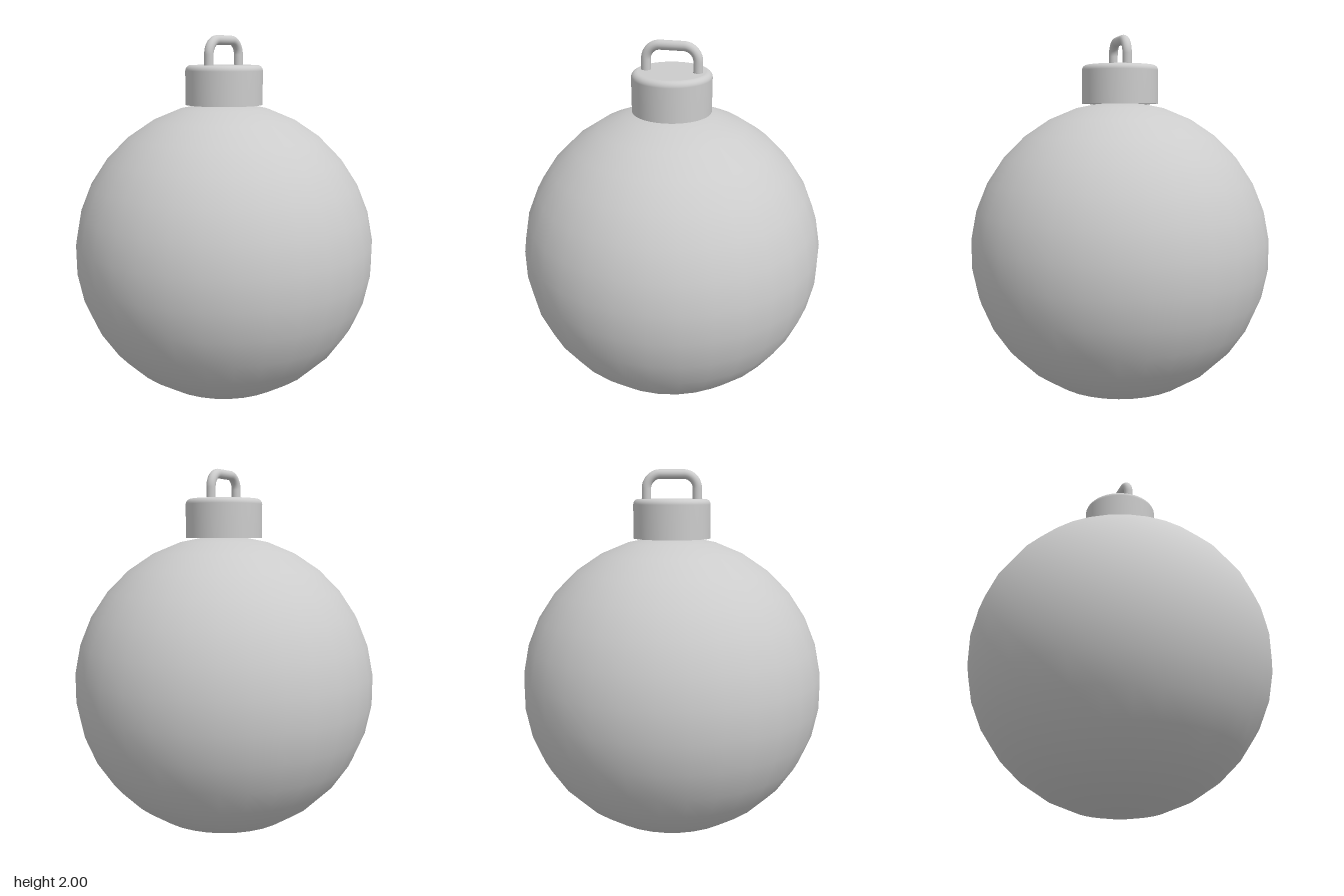
import * as THREE from 'three';

const material = new THREE.MeshStandardMaterial({ color: 0xcccccc, side: THREE.DoubleSide });

function addPart(group, name, geometry) {
  const mesh = new THREE.Mesh(geometry, material);
  mesh.name = name;
  group.add(mesh);
  return mesh;
}

export function createModel() {
  const group = new THREE.Group();
  group.name = 'hangingBauble';

  // Ball: 32 sides, rings staggered half a step about the equator
  const R = 0.825, sides = 32, step = (Math.PI * 2) / sides;
  const profile = [new THREE.Vector2(0, -R)];
  for (let i = 0; i < sides / 2; i++) {
    const a = -Math.PI / 2 + (i + 0.5) * step;
    profile.push(new THREE.Vector2(R * Math.cos(a), R * Math.sin(a)));
  }
  profile.push(new THREE.Vector2(0, R));
  const ball = new THREE.LatheGeometry(profile, sides, step / 2);
  // True radial normals for smooth shading
  const pos = ball.attributes.position, n = new THREE.Vector3();
  for (let i = 0; i < pos.count; i++) {
    n.fromBufferAttribute(pos, i).normalize();
    ball.attributes.normal.setXYZ(i, n.x, n.y, n.z);
  }
  addPart(group, 'ball', ball).position.y = R;

  // Cap: short cylinder with a rounded top rim
  const capR = 0.208, bottom = 1.637, top = 1.846, bevel = 0.03;
  const wall = [new THREE.Vector2(capR, bottom)];
  for (let i = 0; i <= 6; i++) {
    const a = (i / 6) * Math.PI / 2;
    wall.push(new THREE.Vector2(capR - bevel + bevel * Math.cos(a), top - bevel + bevel * Math.sin(a)));
  }
  addPart(group, 'capWall', new THREE.LatheGeometry(wall, 64));
  addPart(group, 'capTop', new THREE.CircleGeometry(capR - bevel, 64).rotateX(-Math.PI / 2)).position.y = top;
  addPart(group, 'capBase', new THREE.CircleGeometry(capR, 64).rotateX(Math.PI / 2)).position.y = bottom;

  // Hanging loop: bent wire with rounded corners
  const wire = 0.025, x = 0.136, y = 2 - wire, c = 0.075;
  const v = (px, py) => new THREE.Vector3(px, py, 0);
  const k = c * 0.45;
  const path = new THREE.CurvePath();
  path.add(new THREE.LineCurve3(v(-x, 1.82), v(-x, y - c)));
  path.add(new THREE.CubicBezierCurve3(v(-x, y - c), v(-x, y - k), v(-x + k, y), v(-x + c, y)));
  path.add(new THREE.LineCurve3(v(-x + c, y), v(x - c, y)));
  path.add(new THREE.CubicBezierCurve3(v(x - c, y), v(x - k, y), v(x, y - k), v(x, y - c)));
  path.add(new THREE.LineCurve3(v(x, y - c), v(x, 1.82)));
  addPart(group, 'hangingLoop', new THREE.TubeGeometry(path, 64, wire, 16, false));

  return group;
}
